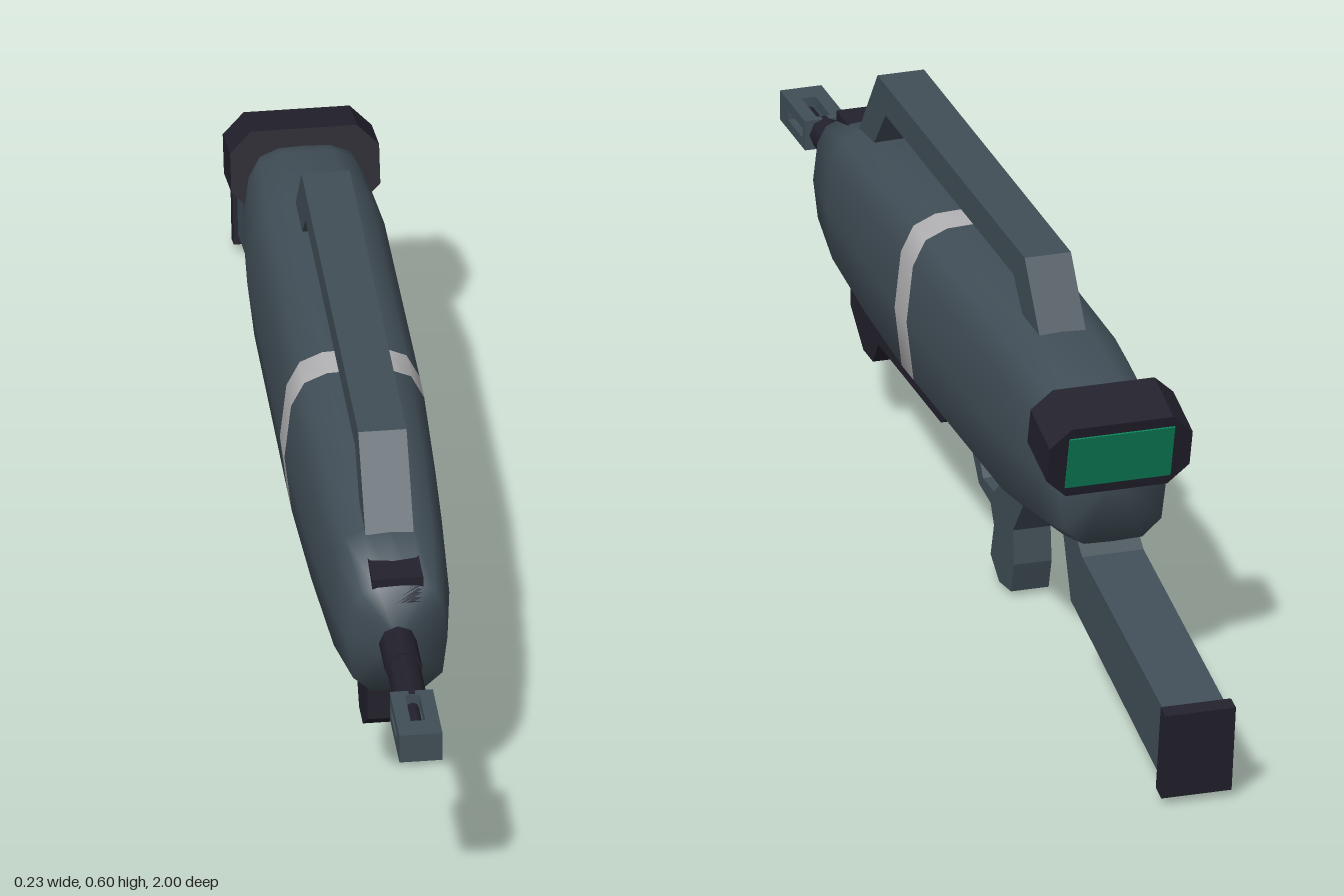
import * as THREE from 'three';

export function createModel() {
  const model = new THREE.Group();
  const material = (name, color) => {
    const m = new THREE.MeshStandardMaterial({ color });
    m.name = name;
    return m;
  };
  const slate = material('slate', 0x414e57);
  const dark = material('dark', 0x23212c);
  const pale = material('pale grey', 0xb2b2b4);
  const green = material('screen green', 0x0d8059);

  const add = (name, geometry, mat, parent = model) => {
    const mesh = new THREE.Mesh(geometry, mat);
    mesh.name = name;
    parent.add(mesh);
    return mesh;
  };
  const box = (name, w, h, d, x, y, z, mat, parent) =>
    add(name, new THREE.BoxGeometry(w, h, d).translate(x, y, z), mat, parent);
  const points = (list) => list.map(([a, b]) => new THREE.Vector2(a, b));

  // Side profile in (z, y), extruded across the width
  const slab = (name, profile, halfWidth, mat, hole) => {
    const shape = new THREE.Shape(points(profile));
    if (hole) shape.holes.push(new THREE.Path(points(hole)));
    const g = new THREE.ExtrudeGeometry(shape, { depth: halfWidth * 2, bevelEnabled: false });
    g.rotateY(-Math.PI / 2).translate(halfWidth, 0, 0);
    return add(name, g, mat);
  };

  // Body: one rounded cross-section, scaled along z; t runs from bottom 0 to top 1
  const half = [[0, 1], [0.42, 0.993], [0.73, 0.94], [0.91, 0.8], [1, 0.48], [0.9, 0.14], [0.54, 0.007], [0, 0]];
  const section = [...half, ...half.slice(1, -1).reverse().map(([x, t]) => [-x, t])];
  const rings = [ // z, half width, bottom, top
    [0.7, 0.076, 0.26, 0.447], [0.58, 0.093, 0.236, 0.478], [0.38, 0.105, 0.226, 0.494],
    [0.18, 0.112, 0.22, 0.506], [0.12, 0.112, 0.22, 0.506], [-0.32, 0.11, 0.22, 0.503],
    [-0.48, 0.098, 0.243, 0.482], [-0.56, 0.086, 0.26, 0.462],
  ];
  const n = section.length;
  const position = [];
  for (const [z, w, lo, hi] of rings)
    for (const [x, t] of section) position.push(x * w, lo + t * (hi - lo), z);
  const frontCentre = position.length / 3;
  position.push(0, 0.35, 0.7, 0, 0.36, -0.56);
  const index = [];
  const body = new THREE.BufferGeometry();
  for (let j = 0; j < n; j++) index.push(frontCentre, (j + 1) % n, j);
  body.addGroup(0, index.length, 0);
  for (let i = 0; i < rings.length - 1; i++) {
    const start = index.length;
    for (let j = 0; j < n; j++) {
      const a = i * n + j, b = i * n + (j + 1) % n;
      index.push(a, b, a + n, b, b + n, a + n);
    }
    body.addGroup(start, index.length - start, i === 3 ? 1 : 0);
  }
  const capStart = index.length, last = (rings.length - 1) * n;
  for (let j = 0; j < n; j++) index.push(frontCentre + 1, last + j, last + (j + 1) % n);
  body.addGroup(capStart, index.length - capStart, 0);
  body.setAttribute('position', new THREE.Float32BufferAttribute(position, 3));
  body.setIndex(index);
  body.computeVertexNormals();
  add('bodyWithStripe', body, [slate, pale]);

  // Carrying handle on top
  slab('carryHandle', [
    [0.61, 0.45], [0.5, 0.6], [-0.235, 0.6], [-0.325, 0.48],
    [-0.245, 0.48], [-0.18, 0.55], [0.46, 0.55], [0.535, 0.46],
  ], 0.037, slate);

  // Front sight block
  box('frontSight', 0.078, 0.045, 0.1, 0, 0.4375, 0.65, dark);

  // Barrel and slotted muzzle
  const tube = (name, r, z0, z1) => add(name, new THREE.CylinderGeometry(r, r, z1 - z0, 8)
    .rotateX(Math.PI / 2).translate(0, 0.345, (z0 + z1) / 2), dark);
  tube('barrelBase', 0.029, 0.66, 0.775);
  tube('barrel', 0.026, 0.77, 0.885);
  tube('barrelTip', 0.01, 0.88, 0.97);
  const muzzle = new THREE.Group();
  muzzle.name = 'muzzle';
  model.add(muzzle);
  box('muzzleFront', 0.066, 0.048, 0.04, 0, 0.345, 0.98, slate, muzzle);
  box('muzzleBack', 0.066, 0.048, 0.012, 0, 0.345, 0.881, slate, muzzle);
  for (const sx of [-1, 1])
    for (const sy of [-1, 1])
      box('muzzleProng', 0.022, 0.016, 0.08, sx * 0.022, 0.345 + sy * 0.016, 0.922, slate, muzzle);

  // Lower fore grip
  slab('foreGrip', [
    [0.632, 0.222], [0.632, 0.166], [0.568, 0.118], [0.52, 0.118],
    [0.493, 0.157], [0.18, 0.157], [0.136, 0.182], [0.136, 0.23], [0.4, 0.235],
  ], 0.038, dark);

  // Pistol grip with finger hole
  slab('gripAndGuard', [
    [0.064, 0.235], [0.05, 0.165], [0.015, 0.123], [-0.043, 0.115], [-0.06, 0.085],
    [-0.043, 0.03], [-0.086, 0.002], [-0.145, 0.01], [-0.16, 0.06], [-0.155, 0.115],
    [-0.225, 0.2], [-0.228, 0.235],
  ], 0.03, slate, [
    [-0.005, 0.215], [-0.07, 0.215], [-0.096, 0.19], [-0.09, 0.165],
    [-0.06, 0.14], [-0.005, 0.14], [0.018, 0.175],
  ]);

  // Shoulder stock, underside pad and butt plate
  slab('stock', [
    [-0.46, 0.255], [-0.503, 0.145], [-0.958, 0.035], [-0.978, 0.152], [-0.56, 0.24], [-0.53, 0.262],
  ], 0.049, slate);
  slab('stockPad', [[-0.562, 0.135], [-0.565, 0.12], [-0.95, 0.026], [-0.95, 0.045]], 0.043, dark);
  slab('buttPlate', [[-0.975, 0.163], [-0.95, 0.02], [-0.978, 0.013], [-1, 0.158]], 0.056, dark);

  // Tilted rear sight with a chamfered housing and a screen
  const sight = new THREE.Group();
  sight.name = 'rearSight';
  sight.position.set(0, 0.427, -0.546);
  sight.rotation.x = -0.265;
  model.add(sight);
  const w = 0.114, h = 0.064, c = 0.033;
  const outline = new THREE.Shape(points([
    [w, -h + c], [w, h - c], [w - c, h], [-w + c, h], [-w, h - c], [-w, -h + c], [-w + c, -h], [w - c, -h],
  ]));
  add('sightHousing', new THREE.ExtrudeGeometry(outline, { depth: 0.1, bevelEnabled: false })
    .translate(0, 0, -0.05), dark, sight);
  box('sightScreen', 0.168, 0.092, 0.004, 0, 0, -0.051, green, sight);

  return model;
}
